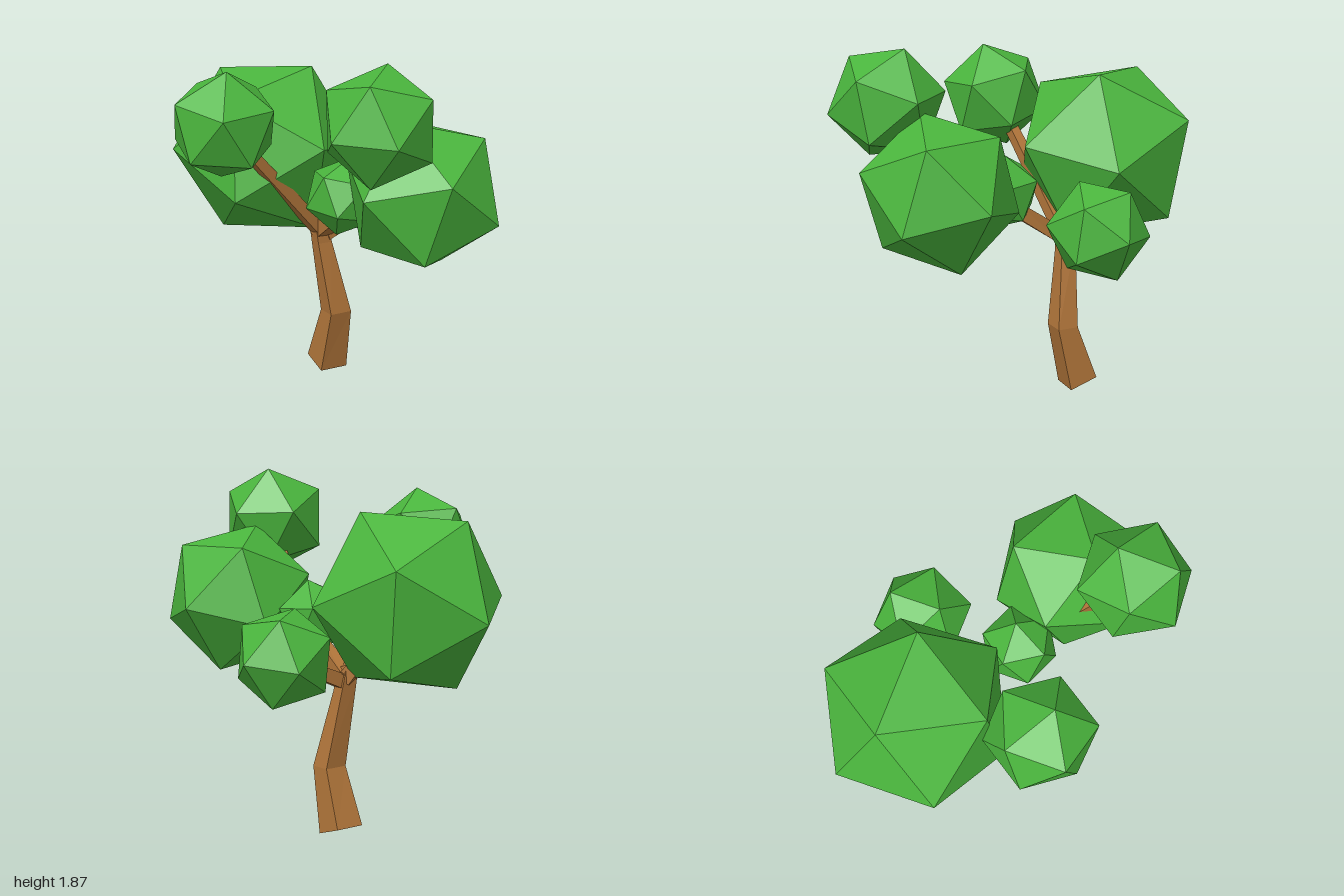
import * as THREE from 'three';

const V = (a) => new THREE.Vector3(...a);
const leafMat = new THREE.MeshStandardMaterial({ color: 0x4ab53d, flatShading: true });
const barkMat = new THREE.MeshStandardMaterial({ color: 0xb0753a, flatShading: true });

// Icosahedron clump, turned so that one of its edges runs from direction a to direction b
function clump(name, centre, radius, a, b) {
  const p = V(a).normalize(), q = V(b).normalize();
  const along = q.clone().sub(p).normalize();
  const out = p.add(q).normalize();
  const mesh = new THREE.Mesh(new THREE.IcosahedronGeometry(radius, 0), leafMat);
  mesh.quaternion.setFromRotationMatrix(
    new THREE.Matrix4().makeBasis(along, out, along.clone().cross(out)));
  mesh.position.set(...centre);
  mesh.name = name;
  return mesh;
}

// Four-sided limb lofted through sections { c: centre, u, v: half-width vectors }
function limb(name, sections) {
  const pos = [], idx = [];
  for (const { c, u, v } of sections) {
    for (const [su, sv] of [[1, 1], [1, -1], [-1, -1], [-1, 1]]) {
      pos.push(...c.clone().addScaledVector(u, su).addScaledVector(v, sv).toArray());
    }
  }
  for (let s = 0; s < sections.length - 1; s++) {
    for (let i = 0; i < 4; i++) {
      const a = s * 4 + i, b = s * 4 + (i + 1) % 4;
      idx.push(a, b, b + 4, a, b + 4, a + 4);
    }
  }
  const t = (sections.length - 1) * 4;
  idx.push(0, 2, 1, 0, 3, 2, t, t + 1, t + 2, t, t + 2, t + 3);
  const indexed = new THREE.BufferGeometry();
  indexed.setAttribute('position', new THREE.Float32BufferAttribute(pos, 3));
  indexed.setIndex(idx);
  const geo = indexed.toNonIndexed();
  geo.computeVertexNormals();
  const mesh = new THREE.Mesh(geo, barkMat);
  mesh.name = name;
  return mesh;
}

// Square branch along a few points, tapering from half-width r0 to r1
function branch(name, points, r0, r1) {
  const pts = points.map(V), n = pts.length - 1;
  return limb(name, pts.map((c, i) => {
    const dir = pts[Math.min(i + 1, n)].clone().sub(pts[Math.max(i - 1, 0)]).normalize();
    const side = dir.clone().cross(new THREE.Vector3(0, 1, 0)).normalize();
    const r = THREE.MathUtils.lerp(r0, r1, i / n);
    return { c, u: side.clone().multiplyScalar(r), v: side.clone().cross(dir).multiplyScalar(r) };
  }));
}

export function createModel() {
  const tree = new THREE.Group();
  tree.name = 'tree';

  // Trunk: bent, tapering, cut at a slant at the foot
  tree.add(limb('trunk', [
    { c: V([-0.17, 0.025, -0.214]), u: V([0.0725, -0.025, 0.023]), v: V([-0.025, 0, 0.077]) },
    { c: V([-0.081, 0.35, -0.19]), u: V([0.0535, 0, 0.017]), v: V([-0.018, 0, 0.062]) },
    { c: V([-0.145, 0.78, -0.138]), u: V([0.04, -0.03, 0.01]), v: V([-0.013, 0, 0.04]) },
    { c: V([-0.15, 0.88, -0.12]), u: V([0.034, -0.01, 0.01]), v: V([-0.012, 0, 0.034]) },
  ]));

  // Branches fork from the top of the trunk into the clumps
  const fork = [-0.15, 0.81, -0.14];
  tree.add(
    branch('leftBranch', [fork, [0.16, 1.03, -0.03], [0.6, 1.18, -0.04]], 0.042, 0.03),
    branch('upperLeftBranch', [[0.16, 1.03, -0.03], [0.47, 1.32, 0.18], [0.66, 1.58, 0.33]], 0.032, 0.022),
    branch('rightBranch', [fork, [-0.45, 1.2, -0.08]], 0.038, 0.025),
    branch('frontBranch', [fork, [-0.215, 1.45, 0.47]], 0.036, 0.025),
    branch('backBranch', [[-0.13, 0.8, -0.15], [-0.03, 0.93, -0.45]], 0.038, 0.03),
  );

  // Foliage clumps
  tree.add(
    clump('rightFoliage', [-0.492, 1.235, -0.075], 0.517, [0.19, 0.456, -0.147], [0.308, -0.02, -0.42]),
    clump('frontFoliage', [-0.218, 1.492, 0.508], 0.291, [0.254, 0.09, -0.104], [0.055, 0.278, 0.03]),
    clump('leftFoliage', [0.628, 1.18, -0.044], 0.419, [0.027, -0.034, -0.416], [0.006, -0.385, -0.165]),
    clump('upperLeftFoliage', [0.663, 1.588, 0.333], 0.305, [0.04, -0.282, 0.105], [-0.035, -0.04, 0.3]),
    clump('innerFoliage', [0.166, 1.095, 0.026], 0.208, [0.105, -0.07, 0.174], [-0.1, -0.05, 0.155]),
    clump('backFoliage', [-0.022, 0.957, -0.508], 0.27, [0.05, 0, -0.265], [-0.02, -0.242, -0.117]),
  );
  return tree;
}
